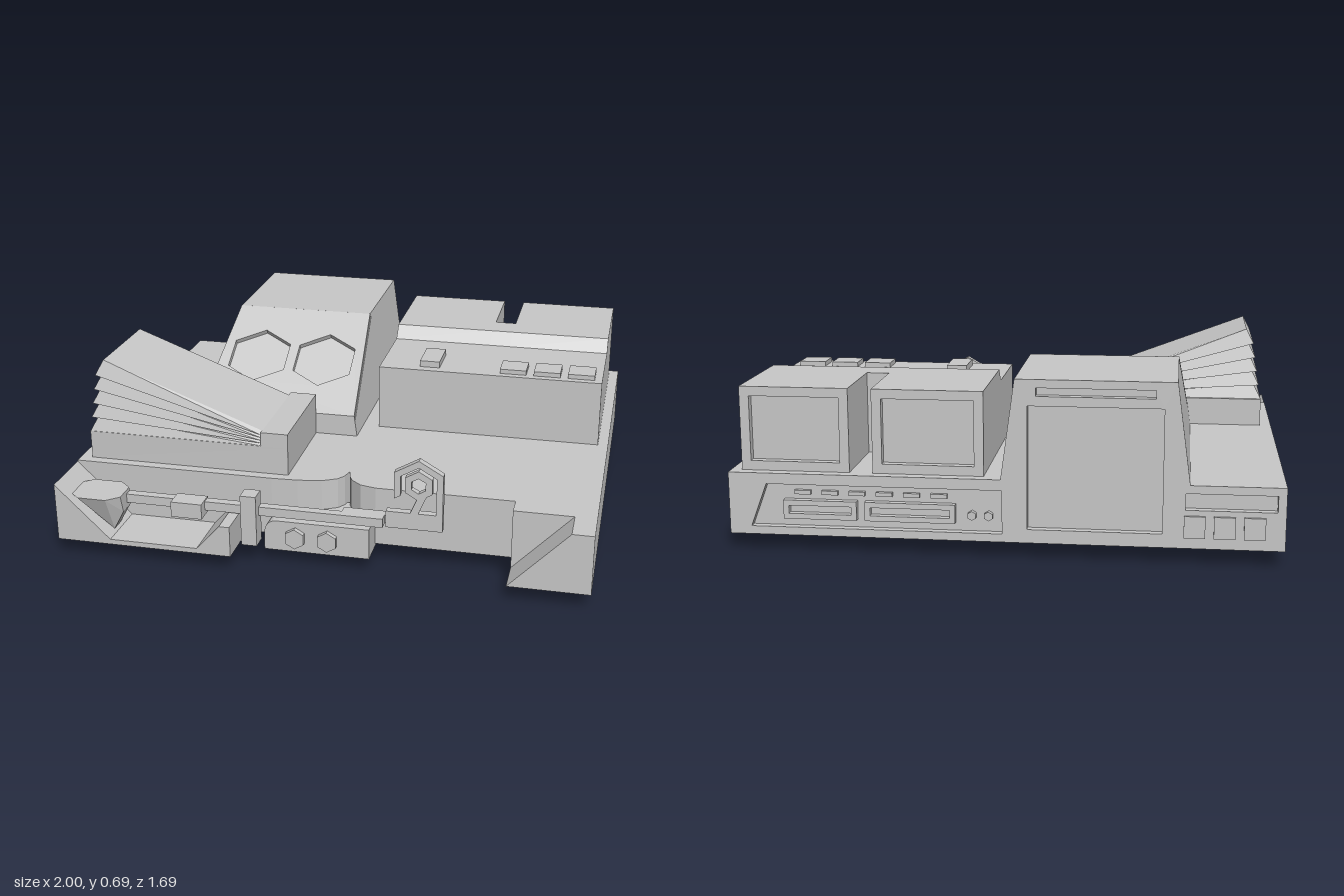
import * as THREE from 'three';
import { ConvexGeometry } from 'three/addons/geometries/ConvexGeometry.js';

const grey = new THREE.MeshStandardMaterial({ color: 0xc8c8c8 });
grey.name = 'plain grey';

const toShape = (pts) => new THREE.Shape(pts.map(([x, y]) => new THREE.Vector2(x, y)));
const toHole = (pts) => new THREE.Path(pts.map(([x, y]) => new THREE.Vector2(x, y)));
const rect = (x0, x1, y0, y1) => [[x0, y0], [x1, y0], [x1, y1], [x0, y1]];
const hexagon = (cx, cy, r) => Array.from({ length: 6 }, (_, i) => {
  const a = Math.PI / 2 + i * Math.PI / 3;
  return [cx + r * Math.cos(a), cy + r * Math.sin(a)];
});

// Outline in x, y pulled from z0 to z1
function extrudeZ(pts, z0, z1, holes = []) {
  const shape = toShape(pts);
  shape.holes = holes.map(toHole);
  return new THREE.ExtrudeGeometry(shape, { depth: z1 - z0, bevelEnabled: false, curveSegments: 6 }).translate(0, 0, z0);
}
// Side outline in z, y pulled from x0 to x1
function extrudeX(pts, x0, x1) {
  const shape = toShape(pts.map(([z, y]) => [-z, y]));
  return new THREE.ExtrudeGeometry(shape, { depth: x1 - x0, bevelEnabled: false }).rotateY(Math.PI / 2).translate(x0, 0, 0);
}

export function createModel() {
  const model = new THREE.Group();
  const add = (name, geometry) => {
    const mesh = new THREE.Mesh(geometry, grey);
    mesh.name = name;
    model.add(mesh);
    return mesh;
  };
  const box = (name, x0, x1, y0, y1, z0, z1) => add(name, new THREE.BoxGeometry(x1 - x0, y1 - y0, z1 - z0)
    .translate((x0 + x1) / 2, (y0 + y1) / 2, (z0 + z1) / 2));

  // Base slab with a pointed notch in the front edge
  const slab = toShape([[-1, -0.81], [1, -0.81], [1, 0.62], [0.18, 0.62], [0.12, 0.605], [0.08, 0.57], [0.065, 0.54],
    [0.055, 0.5], [0.045, 0.54], [0.025, 0.57], [-0.03, 0.6], [-0.12, 0.615], [-0.22, 0.62], [-1, 0.62]]);
  add('baseSlab', new THREE.ExtrudeGeometry(slab, { depth: 0.23, bevelEnabled: false }).rotateX(Math.PI / 2).translate(0, 0.29, 0));

  // Front corners
  add('frontTray', extrudeZ([[-1, 0.06], [-0.32, 0.06], [-0.32, 0.18], [-0.36, 0.18], [-0.45, 0.08],
    [-0.79, 0.08], [-1, 0.285]], 0.62, 0.84));
  box('frontCornerBlock', 0.7, 1, 0.06, 0.29, 0.62, 0.7);
  add('frontCornerRamp', extrudeZ([[0.7, 0.06], [1, 0.06], [1, 0.29], [0.92, 0.29]], 0.7, 0.84));

  // Feet
  for (const x of [-0.77, 0.77]) for (const z of [0.4, -0.6]) box('foot', x - 0.053, x + 0.053, 0, 0.06, z - 0.05, z + 0.05);

  // Back panel with recessed bays
  add('backPanel', extrudeZ([[-1, 0.06], [1, 0.06], [1, 0.29], [0.005, 0.29], [-0.045, 0.655], [-0.615, 0.655],
    [-0.665, 0.29], [-1, 0.29]], -0.84, -0.81, [
    rect(-0.57, -0.09, 0.11, 0.56), rect(-0.54, -0.12, 0.595, 0.625),
    [[0, 0.09], [0.92, 0.09], [0.86, 0.25], [0, 0.25]], rect(-0.97, -0.65, 0.2, 0.26),
  ]));
  for (const [x0, x1] of [[0.53, 0.8], [0.17, 0.5]]) {
    add('backDrawerRim', extrudeZ(rect(x0, x1, 0.12, 0.19), -0.835, -0.81, [rect(x0 + 0.02, x1 - 0.02, 0.14, 0.17)]));
  }
  for (let i = 0; i < 6; i++) box('backVent', 0.2 + i * 0.1, 0.26 + i * 0.1, 0.21, 0.225, -0.825, -0.81);
  for (const x of [0.05, 0.11]) {
    add('backSocket', new THREE.CylinderGeometry(0.017, 0.017, 0.02, 6).rotateX(Math.PI / 2).translate(x, 0.15, -0.82));
  }
  for (let i = 0; i < 3; i++) box('backKey', -0.72 - i * 0.105, -0.645 - i * 0.105, 0.1, 0.18, -0.85, -0.84);

  // Console hood: a side profile whose flanks lean inwards with height
  const hood = extrudeX([[-0.81, 0.29], [0.155, 0.29], [0.155, 0.375], [0.145, 0.358], [-0.33, 0.638],
    [-0.32, 0.655], [-0.81, 0.655]], 0, 1);
  const p = hood.attributes.position;
  for (let i = 0; i < p.count; i++) {
    const lean = 0.05 * (p.getY(i) - 0.29) / 0.365;
    p.setX(i, THREE.MathUtils.lerp(-0.665 + lean, 0.005 - lean, p.getX(i)));
  }
  hood.computeVertexNormals();
  add('hood', hood);

  // Sloping face with two hexagonal wells
  const face = add('hoodFace', extrudeZ([[-0.323, 0], [0.323, 0], [0.285, 0.551], [-0.285, 0.551]], 0, 0.02,
    [hexagon(-0.14, 0.281, 0.138), hexagon(0.14, 0.281, 0.138)]));
  face.rotation.x = -1.038;
  face.position.set(-0.33, 0.358, 0.145);

  // Stepped cabinet, split at the back by a slot
  const cabinet = (z) => [[z, 0.29], [0.035, 0.29], [0.035, 0.55], [-0.325, 0.55], [-0.37, 0.6], [z, 0.6]];
  for (const [x0, x1] of [[0.07, 0.475], [0.56, 0.96]]) {
    add('cabinet', extrudeX(cabinet(-0.77), x0, x1));
    add('cabinetBackRim', extrudeZ(rect(x0, x1, 0.29, 0.6), -0.8, -0.77, [rect(x0 + 0.035, x1 - 0.035, 0.325, 0.565)]));
  }
  add('cabinetMiddle', extrudeX(cabinet(-0.49), 0.475, 0.56));
  box('cabinetWideKey', 0.23, 0.31, 0.55, 0.575, -0.165, -0.005);
  for (let i = 0; i < 3; i++) box('cabinetKey', 0.555 + i * 0.135, 0.66 + i * 0.135, 0.55, 0.568, -0.1, 0.005);

  // Bellows: a plinth with wedges fanning out from its raised end
  box('bellowsPlinth', -0.955, -0.165, 0.29, 0.4, 0.15, 0.58);
  box('bellowsHinge', -0.27, -0.165, 0.4, 0.455, 0.15, 0.58);
  for (let i = 0; i < 5; i++) {
    const pts = [];
    for (const [k, x, inset] of [[i, -0.955 + i * 0.009, 0], [i + 1, -0.925 + i * 0.009, 0.018]]) {
      for (const z of [0.163 + inset, 0.578 - inset]) {
        pts.push(new THREE.Vector3(x, 0.4 + k * 0.058, z), new THREE.Vector3(-0.268, 0.4 + k * 0.011, z));
      }
    }
    add('bellowsFold', new ConvexGeometry(pts));
  }

  // Front arm with faceted head, collar and lever
  box('arm', -0.78, 0.23, 0.185, 0.22, 0.695, 0.73);
  const head = [[-0.8, 0.09, 0.71], [-0.8, 0.09, 0.77], [-0.76, 0.165, 0.7], [-0.76, 0.165, 0.77]];
  for (const z of [[0.7, 0.79], [0.66, 0.83]]) {
    const xs = z[0] === 0.7 ? [-0.96, -0.76] : [-0.915, -0.805];
    for (const x of xs) for (const zz of z) head.push([x, 0.235, zz]);
  }
  add('armHead', new ConvexGeometry(head.map((v) => new THREE.Vector3(...v))));
  box('armCollar', -0.57, -0.45, 0.165, 0.225, 0.69, 0.77);
  box('armLever', -0.3, -0.24, 0.075, 0.275, 0.7, 0.765);
  box('armBracket', 0.07, 0.3, 0.19, 0.22, 0.66, 0.695);

  // Upright hook at the end of the arm
  const hexArc = (r) => [210, 150, 90, 30].map((d) => [0.36 + r * Math.cos(d * Math.PI / 180), 0.355 + r * Math.sin(d * Math.PI / 180)]);
  add('hookRing', extrudeZ([...hexArc(0.104), [0.45, 0.185], [0.425, 0.185], ...hexArc(0.077).reverse()], 0.69, 0.72));
  box('hookFoot', 0.24, 0.43, 0.185, 0.25, 0.69, 0.72);
  add('hookEye', extrudeZ(hexagon(0.36, 0.36, 0.058), 0.695, 0.72, [hexagon(0.36, 0.36, 0.03)]));
  add('hookStem', extrudeZ([[0.33, 0.25], [0.36, 0.25], [0.39, 0.32], [0.36, 0.32]], 0.695, 0.72));

  // Rounded control box below the notch, with two hexagonal buttons
  const front = new THREE.Shape();
  front.moveTo(-0.22, 0.05).lineTo(0.18, 0.05).lineTo(0.18, 0.17).lineTo(-0.17, 0.17);
  front.quadraticCurveTo(-0.22, 0.17, -0.22, 0.11);
  add('controlBox', new THREE.ExtrudeGeometry(front, { depth: 0.21, bevelEnabled: false, curveSegments: 5 }).translate(0, 0, 0.52));
  for (const x of [-0.1, 0.023]) add('controlButton', extrudeZ(hexagon(x, 0.11, 0.04), 0.73, 0.75));

  return model;
}
